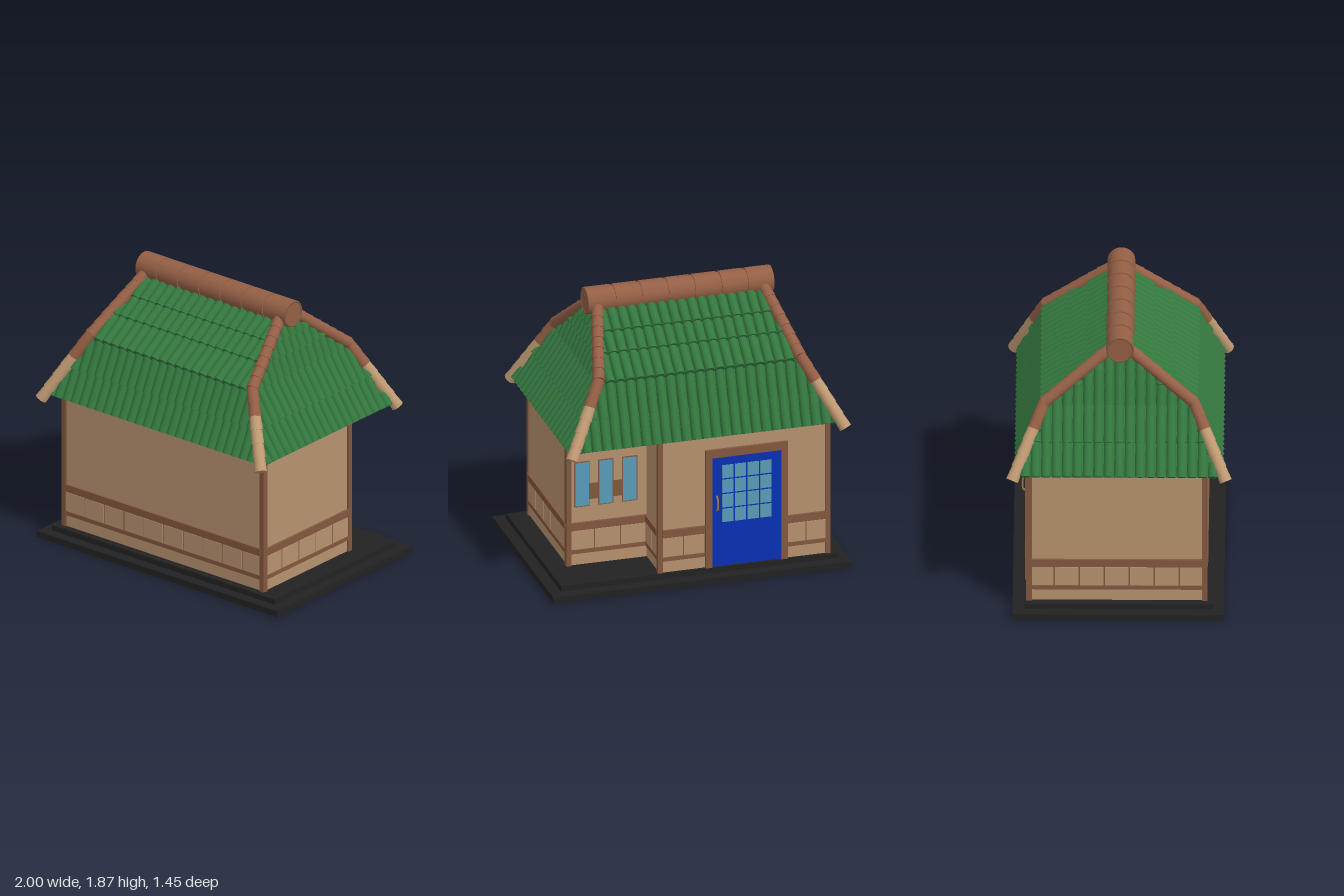
import * as THREE from 'three';
import { mergeGeometries } from 'three/addons/utils/BufferGeometryUtils.js';

const paint = (name, color) => Object.assign(new THREE.MeshStandardMaterial({ color }), { name });

export function createModel() {
  const mats = {
    stone: paint('black stone', 0x222222),
    plaster: paint('tan plaster', 0xb8926f),
    wood: paint('brown timber', 0x83583f),
    clay: paint('ridge clay', 0x945f45),
    cane: paint('pale cane', 0xc09a72),
    tile: paint('green tile', 0x34783f),
    door: paint('blue door', 0x0b30b4),
    glass: paint('window glass', 0x5a9cb8),
    brass: paint('brass', 0xa07a48),
  };
  const model = new THREE.Group();
  model.name = 'tiledHouse';

  const add = (parent, name, geo, mat) => {
    const m = new THREE.Mesh(geo, mats[mat]);
    m.name = name;
    parent.add(m);
    return m;
  };
  // Box given by its min and max on each axis
  const box = (parent, name, mat, x0, x1, y0, y1, z0, z1) => {
    const m = add(parent, name, new THREE.BoxGeometry(x1 - x0, y1 - y0, z1 - z0), mat);
    m.position.set((x0 + x1) / 2, (y0 + y1) / 2, (z0 + z1) / 2);
    return m;
  };
  // Cylinder geometry running from a to b
  const rod = (a, b, ra, rb, sides) => {
    const d = b.clone().sub(a);
    const g = new THREE.CylinderGeometry(rb, ra, d.length(), sides);
    g.applyQuaternion(new THREE.Quaternion().setFromUnitVectors(new THREE.Vector3(0, 1, 0), d.normalize()));
    const c = a.clone().add(b).multiplyScalar(0.5);
    return g.translate(c.x, c.y, c.z);
  };

  // Stepped plinth
  box(model, 'lowerStep', 'stone', -1, 1, 0, 0.042, -0.687, 0.668);
  box(model, 'upperStep', 'stone', -0.93, 0.925, 0.042, 0.08, -0.61, 0.6);

  // Walls: L-shaped plan with a recessed porch at the back
  box(model, 'mainWalls', 'plaster', -0.87, 0.79, 0.08, 1.01, -0.31, 0.55);
  box(model, 'backWalls', 'plaster', -0.87, 0.26, 0.08, 1.01, -0.59, -0.31);

  // Corner posts
  [[-0.865, 0.545], [0.785, 0.545], [0.785, -0.305], [0.255, -0.582], [-0.865, -0.582]].forEach(([x, z]) =>
    box(model, 'cornerPost', 'wood', x - 0.017, x + 0.017, 0.08, 1.01, z - 0.018, z + 0.018));

  // Wainscot: rails, backing and a row of boards; local x runs along the wall, z outwards
  const wainscot = (name, len, x, z, turn) => {
    const g = new THREE.Group();
    g.name = name;
    const h = len / 2;
    box(g, 'topRail', 'wood', -h, h, 0.33, 0.376, -0.01, 0.016);
    box(g, 'lowerRail', 'wood', -h, h, 0.16, 0.188, -0.01, 0.011);
    box(g, 'backing', 'wood', -h, h, 0.188, 0.33, -0.003, 0.003);
    const n = Math.max(2, Math.round(len / 0.16)), w = len / n;
    for (let i = 0; i < n; i++) {
      const left = -h + i * w;
      box(g, 'board', 'plaster', left + 0.004, left + w - 0.004, 0.188, 0.318, -0.002, 0.007);
    }
    g.position.set(x, 0, z);
    g.rotation.y = turn;
    model.add(g);
  };
  const Q = Math.PI / 2;
  wainscot('frontWainscot', 1.64, -0.04, 0.55, 0);
  wainscot('leftWainscot', 0.84, 0.79, 0.12, Q);
  wainscot('rightWainscot', 1.12, -0.87, -0.02, -Q);
  wainscot('porchWainscot', 0.52, 0.525, -0.31, 2 * Q);
  wainscot('porchSideWainscot', 0.27, 0.26, -0.445, Q);
  wainscot('backWainscotLeft', 0.29, 0.1, -0.59, 2 * Q);
  wainscot('backWainscotRight', 0.27, -0.72, -0.59, 2 * Q);

  // Door, its frame, glazing and panels (on the back wall)
  box(model, 'doorJamb', 'wood', -0.09, -0.045, 0.08, 0.9, -0.61, -0.58);
  box(model, 'doorJamb', 'wood', -0.595, -0.55, 0.08, 0.9, -0.61, -0.58);
  box(model, 'doorHead', 'wood', -0.595, -0.045, 0.845, 0.9, -0.611, -0.58);
  box(model, 'door', 'door', -0.55, -0.09, 0.085, 0.845, -0.606, -0.58);
  for (let c = 0; c < 4; c++) {
    for (let r = 0; r < 4; r++) {
      const x = -0.485 + c * 0.085, y = 0.39 + r * 0.102;
      box(model, 'doorPane', 'glass', x, x + 0.075, y, y + 0.092, -0.609, -0.604);
    }
  }
  box(model, 'doorPanel', 'door', -0.49, -0.15, 0.25, 0.345, -0.61, -0.604);
  box(model, 'doorPanel', 'door', -0.49, -0.15, 0.12, 0.23, -0.61, -0.604);
  const pull = new THREE.CatmullRomCurve3([[0.475, -0.604], [0.485, -0.624], [0.525, -0.628], [0.565, -0.624], [0.575, -0.604]]
    .map(([y, z]) => new THREE.Vector3(-0.12, y, z)));
  add(model, 'doorHandle', new THREE.TubeGeometry(pull, 12, 0.007, 6), 'brass');

  // Three narrow porch windows with timber between them
  [0.695, 0.535, 0.375].forEach((x, i) => {
    box(model, 'windowFrame', 'wood', x - 0.052, x + 0.052, 0.483, 0.797, -0.315, -0.308);
    box(model, 'windowPane', 'glass', x - 0.045, x + 0.045, 0.49, 0.79, -0.318, -0.312);
    if (i) box(model, 'windowTie', 'wood', x + 0.052, x + 0.108, 0.53, 0.64, -0.315, -0.308);
  });

  // Roof core: half width, half depth and height of each level
  const roof = new THREE.Group();
  roof.name = 'roof';
  roof.position.set(-0.04, 0, -0.005);
  model.add(roof);
  const levels = [[0.9, 0.635, 1.005], [0.655, 0.465, 1.42], [0.555, 0.03, 1.75]];
  const corner = ([w, d, y], i) => [i === 0 || i === 3 ? -w : w, y, i < 2 ? d : -d];
  const pts = [];
  for (let l = 0; l < 2; l++) {
    for (let i = 0; i < 4; i++) {
      const j = (i + 1) % 4;
      const a = corner(levels[l], i), b = corner(levels[l], j), c = corner(levels[l + 1], j), d = corner(levels[l + 1], i);
      pts.push(...a, ...b, ...c, ...a, ...c, ...d);
    }
  }
  [0, 3, 2, 0, 2, 1].forEach(i => pts.push(...corner(levels[0], i)));
  const core = new THREE.BufferGeometry();
  core.setAttribute('position', new THREE.Float32BufferAttribute(pts, 3));
  core.computeVertexNormals();
  add(roof, 'roofCore', core, 'tile');

  // Barrel tiles: overlapping courses on each slope, cut off at the hips
  const courses = [[0, 0.46, 1], [-0.05, 0.33, 0.62, 1]];
  for (let k = 0; k < 4; k++) {
    const [wi, di] = k % 2 ? [1, 0] : [0, 1];
    const n = Math.round(2 * levels[0][wi] / 0.067), step = 2 * levels[0][wi] / n;
    const tiles = [];
    courses.forEach((stops, l) => {
      const lo = levels[l], hi = levels[l + 1];
      const out = new THREE.Vector3(0, lo[di] - hi[di], hi[2] - lo[2]).normalize();
      const at = (u, t, lift) => new THREE.Vector3(
        u, lo[2] + (hi[2] - lo[2]) * t, lo[di] + (hi[di] - lo[di]) * t).addScaledVector(out, lift);
      for (let i = 0; i < n; i++) {
        const u = (i + 0.5 - n / 2) * step;
        const limit = (lo[wi] - Math.abs(u)) / (lo[wi] - hi[wi]);
        for (let s = 0; s + 1 < stops.length; s++) {
          const end = Math.min(stops[s + 1] + 0.02, limit);
          if (end - stops[s] < 0.06) continue;
          tiles.push(rod(at(u, stops[s], 0.008), at(u, end, -0.004), 0.034, 0.03, 10));
        }
      }
    });
    add(roof, 'roofTiles', mergeGeometries(tiles).rotateY(k * Q), 'tile');
  }

  // Jointed hip poles: pale at the eaves, brown above
  const hips = { cane: [], clay: [] };
  for (const sx of [-1, 1]) {
    for (const sz of [-1, 1]) {
      const path = [[0.915, 0.985, 0.685], [0.675, 1.43, 0.48], [0.56, 1.75, 0.07]]
        .map(([x, y, z]) => new THREE.Vector3(sx * x, y, sz * z));
      for (let l = 0; l < 2; l++) {
        const n = l ? 7 : 6;
        for (let i = 0; i < n; i++) {
          const a = path[l].clone().lerp(path[l + 1], i / n);
          const b = path[l].clone().lerp(path[l + 1], (i + 1.12) / n);
          hips[l === 0 && i < 4 ? 'cane' : 'clay'].push(rod(a, b, 0.041, 0.036, 14));
        }
      }
    }
  }
  add(roof, 'hipPoleEnds', mergeGeometries(hips.cane), 'cane');
  add(roof, 'hipPoles', mergeGeometries(hips.clay), 'clay');

  // Ridge log with grooves and a rim at each end
  const ridge = new THREE.Group();
  ridge.name = 'ridge';
  ridge.position.set(-0.04, 1.778, 0);
  model.add(ridge);
  const alongX = (x0, x1, r) => rod(new THREE.Vector3(x0, 0, 0), new THREE.Vector3(x1, 0, 0), r, r, 32);
  add(ridge, 'ridgeCore', alongX(-0.612, 0.612, 0.081), 'clay');
  const pitch = 1.24 / 7;
  for (let i = 0; i < 7; i++) {
    const x = -0.62 + i * pitch;
    add(ridge, 'ridgeSection', alongX(x + (i ? 0.009 : 0), x + pitch - (i < 6 ? 0.009 : 0), 0.089), 'clay');
  }
  for (const s of [-1, 1]) {
    const rim = add(ridge, 'ridgeRim', new THREE.TorusGeometry(0.082, 0.007, 8, 32), 'wood');
    rim.position.x = s * 0.618;
    rim.rotation.y = Q;
  }
  return model;
}
